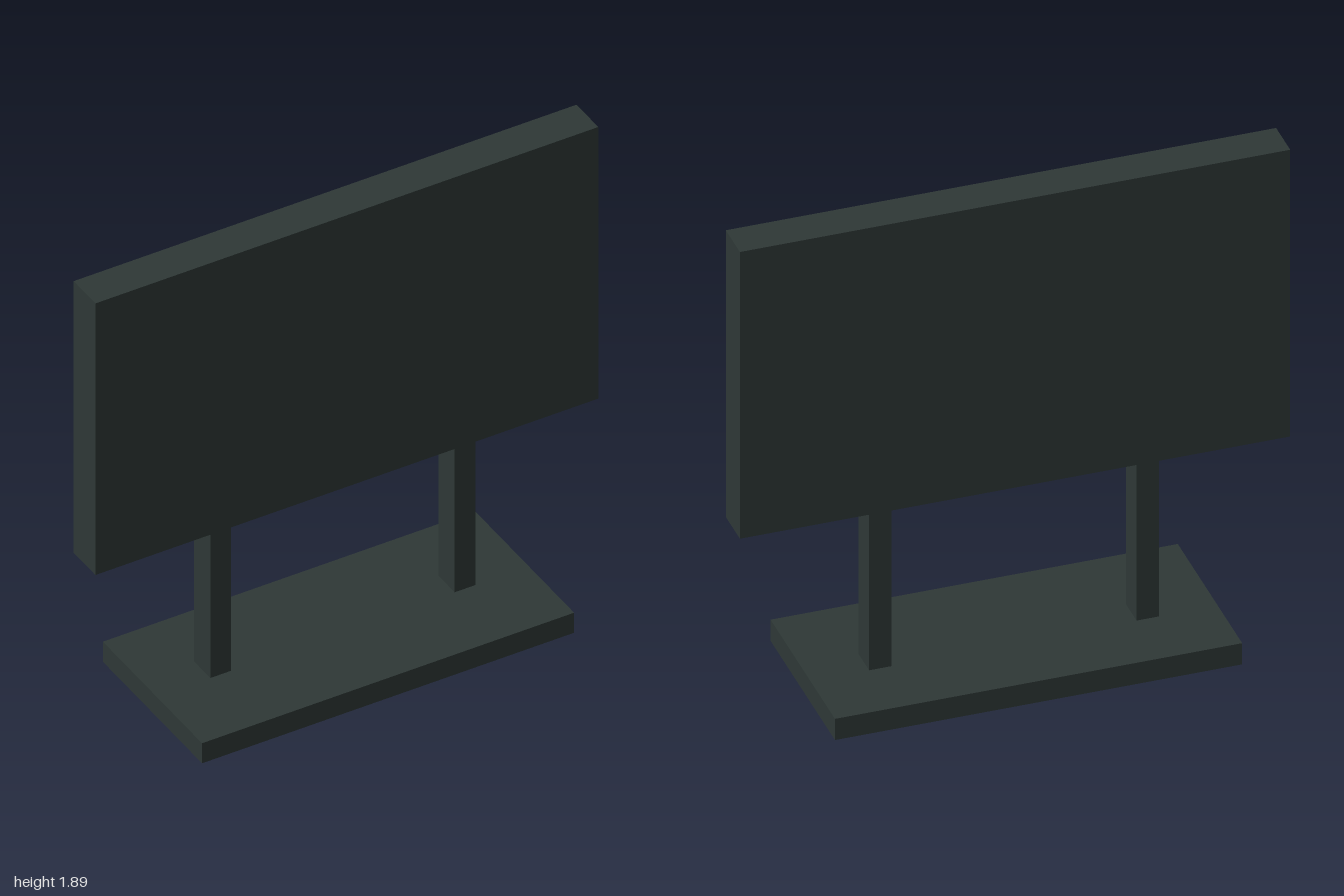
import * as THREE from 'three';

export function createModel() {
  const group = new THREE.Group();
  const darkSlate = new THREE.MeshStandardMaterial({ color: 0x2e3836 });
  darkSlate.name = 'darkSlate';

  // Box given by its extents along each axis
  function addBox(name, [x0, x1], [y0, y1], [z0, z1]) {
    const mesh = new THREE.Mesh(new THREE.BoxGeometry(x1 - x0, y1 - y0, z1 - z0), darkSlate);
    mesh.name = name;
    mesh.position.set((x0 + x1) / 2, (y0 + y1) / 2, (z0 + z1) / 2);
    group.add(mesh);
  }

  // Floor plate
  addBox('base', [-0.74, 0.74], [0, 0.086], [-0.337, 0.337]);

  // Pair of upright posts between plate and panel
  for (const [name, x] of [['leftPost', 0.486], ['rightPost', -0.486]]) {
    addBox(name, [x - 0.041, x + 0.041], [0.086, 0.725], [-0.081, 0.029]);
  }

  // Display panel
  addBox('panel', [-1, 1], [0.725, 1.89], [-0.091, 0.057]);

  return group;
}
